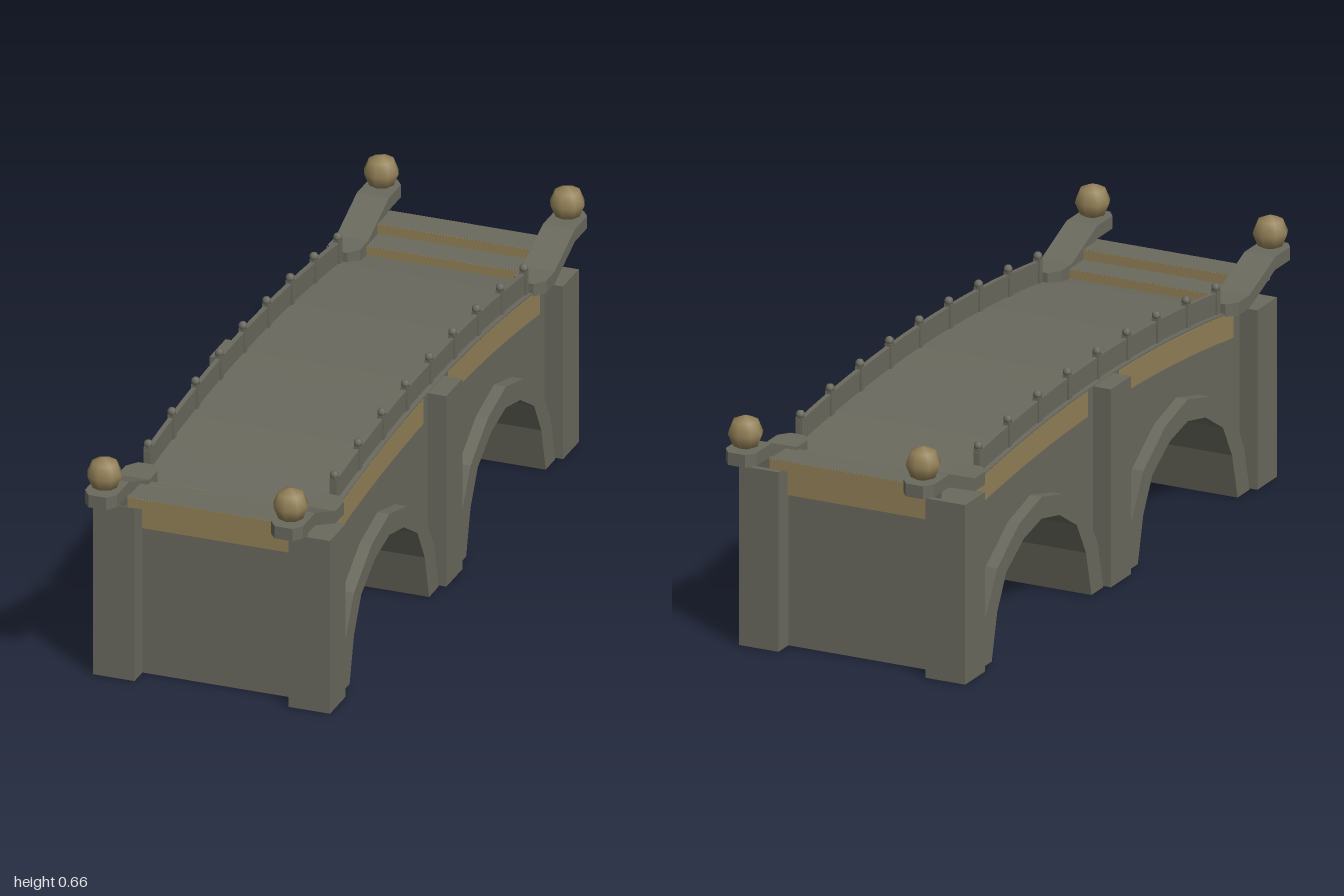
import * as THREE from 'three';

const stone = new THREE.MeshStandardMaterial({ color: 0x69695e, side: THREE.DoubleSide });
stone.name = 'grey stone';
const sand = new THREE.MeshStandardMaterial({ color: 0x928057, side: THREE.DoubleSide });
sand.name = 'tan sandstone';

// Height of the humped deck along the bridge
const deckY = z => 0.529 - 0.05 * (Math.min(Math.abs(z), 0.745) / 0.72) ** 2;

// Half of the arch opening and of its raised rim: [offset from arch centre, y]
const OPENING = [[0.273, 0], [0.243, 0.122], [0.193, 0.212], [0.098, 0.27], [0, 0.292]];
const RIM = [[0.338, 0], [0.308, 0.125], [0.243, 0.238], [0.122, 0.318], [0, 0.35]];

function archPoints(half, centre) {
  const left = half.map(([d, y]) => [centre - d, y]);
  const right = half.slice(0, -1).reverse().map(([d, y]) => [centre + d, y]);
  return [...left, ...right];
}

// Remove the triangles whose three corners all pass the test
function dropFaces(source, test) {
  const geo = source.index ? source.toNonIndexed() : source;
  const p = geo.attributes.position, n = geo.attributes.normal;
  const pos = [], nor = [];
  for (let i = 0; i < p.count; i += 3) {
    const corners = [i, i + 1, i + 2];
    if (corners.every(k => test(p.getX(k), p.getY(k)))) continue;
    for (const k of corners) {
      pos.push(p.getX(k), p.getY(k), p.getZ(k));
      nor.push(n.getX(k), n.getY(k), n.getZ(k));
    }
  }
  const out = new THREE.BufferGeometry();
  out.setAttribute('position', new THREE.Float32BufferAttribute(pos, 3));
  out.setAttribute('normal', new THREE.Float32BufferAttribute(nor, 3));
  return out;
}

// Masonry stands on the ground with an open underside
const openBottom = geo => dropFaces(geo, (x, y) => y < 1e-4);

function pillar(w, h, d) {
  const geo = new THREE.BoxGeometry(w, h, d);
  geo.translate(0, h / 2, 0);
  return openBottom(geo);
}

// Step with open ends, which sit against the rails
function step(w, h, d) {
  const geo = new THREE.BoxGeometry(w, h, d);
  const right = dropFaces(geo, x => x > w / 2 - 1e-4);
  return dropFaces(right, x => x < -w / 2 + 1e-4);
}

// Extrude a (z, y) outline across x, centred on the given x
function slab(points, width, x) {
  const shape = new THREE.Shape(points.map(([z, y]) => new THREE.Vector2(z, y)));
  const geo = new THREE.ExtrudeGeometry(shape, { depth: width, bevelEnabled: false });
  geo.rotateY(-Math.PI / 2);
  geo.translate(x + width / 2, 0, 0);
  return geo;
}

// Outline of a strip that follows the deck between two heights above it
function deckStrip(z0, z1, low, high, steps = 12) {
  const bottom = [], top = [];
  for (let i = 0; i <= steps; i++) {
    const z = z0 + (z1 - z0) * i / steps;
    bottom.push([z, deckY(z) + low]);
    top.unshift([z, deckY(z) + high]);
  }
  return [...bottom, ...top];
}

// Loft of rectangular sections [z, half width, bottom y]
function loft(sections, height) {
  const pos = [], index = [];
  for (const [z, w, y] of sections)
    pos.push(-w, y, z, w, y, z, w, y + height, z, -w, y + height, z);
  const n = sections.length;
  for (let s = 0; s < n - 1; s++)
    for (let k = 0; k < 4; k++) {
      const a = s * 4 + k, b = s * 4 + (k + 1) % 4;
      index.push(a, b, b + 4, a, b + 4, a + 4);
    }
  index.push(0, 2, 1, 0, 3, 2);
  const e = (n - 1) * 4;
  index.push(e, e + 1, e + 2, e, e + 2, e + 3);
  const geo = new THREE.BufferGeometry();
  geo.setAttribute('position', new THREE.Float32BufferAttribute(pos, 3));
  geo.setIndex(index);
  const flat = geo.toNonIndexed();
  flat.computeVertexNormals();
  return flat;
}

export function createModel() {
  const bridge = new THREE.Group();
  bridge.name = 'bridge';
  const add = (name, geo, mat, x = 0, y = 0, z = 0) => {
    const mesh = new THREE.Mesh(geo, mat);
    mesh.name = name;
    mesh.position.set(x, y, z);
    bridge.add(mesh);
    return mesh;
  };

  // Body with two vaults and a humped top
  const outline = [[-0.8, 0], ...archPoints(OPENING, -0.4), ...archPoints(OPENING, 0.4), [0.8, 0], [0.8, deckY(0.8)]];
  for (let i = 16; i >= -16; i--) outline.push([i * 0.745 / 16, deckY(i * 0.745 / 16)]);
  outline.push([-0.8, deckY(0.8)]);
  add('body', openBottom(slab(outline, 0.536, 0)), stone);

  for (const side of [-1, 1]) {
    // Buttress pillars
    add('middlePillar', pillar(0.111, 0.527, 0.11), stone, side * 0.2625);
    for (const end of [-1, 1])
      add('endPillar', pillar(0.111, 0.478, 0.108), stone, side * 0.2625, 0, end * 0.8);

    // Raised arch rims and the coloured band above each arch
    for (const c of [-0.4, 0.4]) {
      const ring = [...archPoints(RIM, c), ...archPoints(OPENING, c).reverse()];
      add('archRim', openBottom(slab(ring, 0.035, side * 0.2825)), stone);
      const z0 = Math.sign(c) * 0.085, z1 = Math.sign(c) * 0.712;
      add('wallBand', slab(deckStrip(Math.min(z0, z1), Math.max(z0, z1), -0.072, -0.004), 0.004, side * 0.267), sand);
    }

    // Parapet with coping and small posts
    add('parapet', slab(deckStrip(-0.66, 0.66, -0.01, 0.05, 16), 0.009, side * 0.25), stone);
    add('parapetCoping', slab(deckStrip(-0.66, 0.66, 0.048, 0.058, 16), 0.013, side * 0.25), stone);
    for (let i = -4; i <= 4; i++) {
      const z = i * 0.1625, y = deckY(z);
      add('parapetPost', new THREE.BoxGeometry(0.018, 0.066, 0.018), stone, side * 0.25, y + 0.032, z);
      add('postKnob', new THREE.SphereGeometry(0.012, 8, 5), stone, side * 0.25, y + 0.071, z);
    }

    // Swept end rails carrying ball finials
    for (const end of [-1, 1]) {
      const rail = loft([
        [0.665, 0.02, 0.478], [0.695, 0.043, 0.478], [0.752, 0.043, 0.478],
        [0.892, 0.043, 0.534], [0.975, 0.043, 0.534], [1, 0.024, 0.534],
      ], 0.034);
      add('endRail', rail, stone, side * 0.25).rotation.y = end > 0 ? 0 : Math.PI;
      add('ballFinial', new THREE.SphereGeometry(0.0465, 8, 4), sand, side * 0.25, 0.609, end * 0.95);
    }
  }

  // Two stepped planks with coloured risers, and the band on the end walls
  for (const end of [-1, 1]) {
    add('endWallBand', new THREE.BoxGeometry(0.416, 0.073, 0.004), sand, 0, 0.4375, end * 0.801);
    add('lowerStep', step(0.42, 0.025, 0.085), stone, 0, 0.49, end * 0.7825);
    add('upperStep', step(0.55, 0.027, 0.083), stone, 0, 0.5165, end * 0.8585);
    for (const z of [0.74, 0.825])
      add('lowerRiser', new THREE.BoxGeometry(0.416, 0.024, 0.003), sand, 0, 0.49, end * z);
    for (const z of [0.817, 0.9])
      add('upperRiser', new THREE.BoxGeometry(0.416, 0.026, 0.003), sand, 0, 0.5165, end * z);
  }
  return bridge;
}
